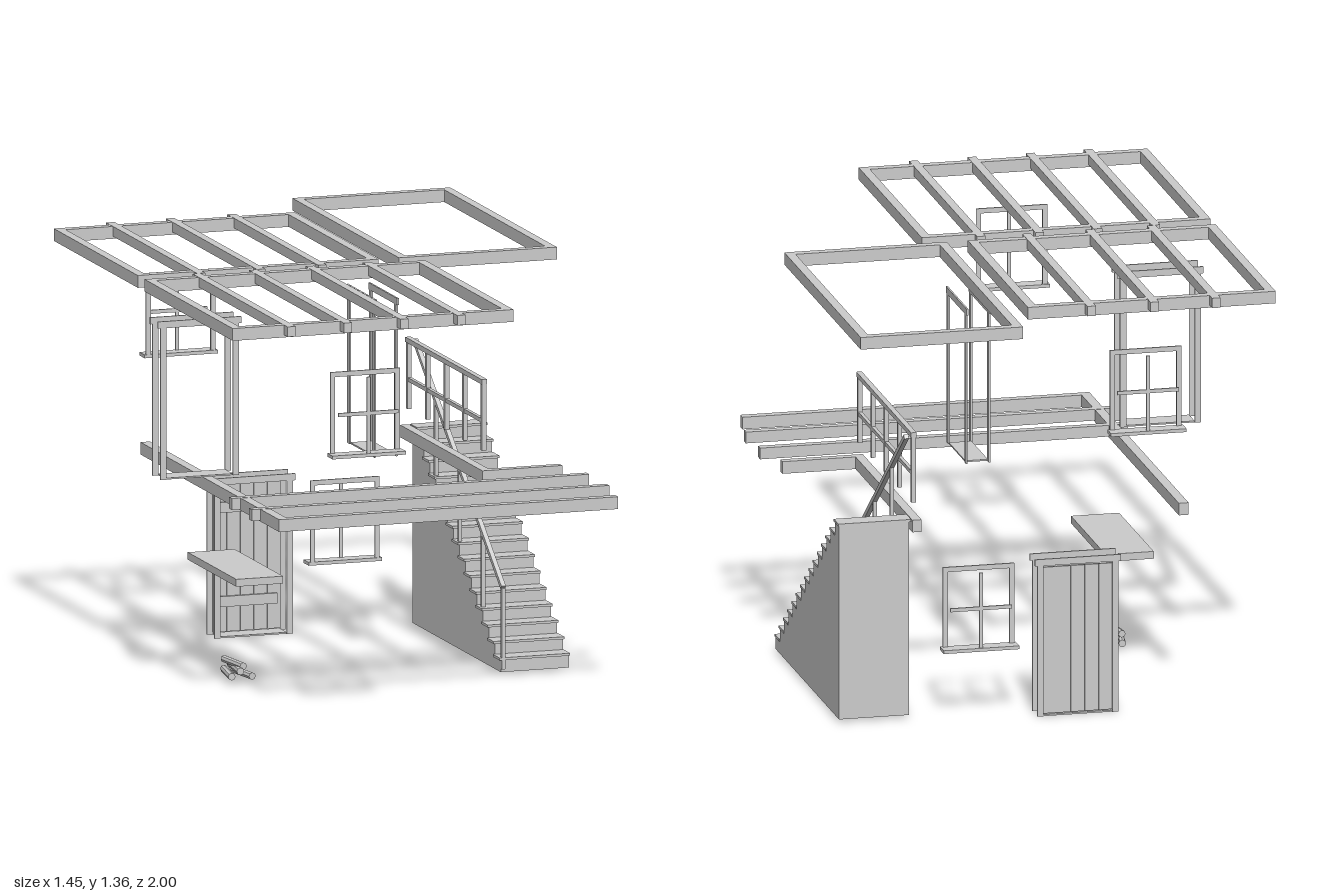
import * as THREE from 'three';

const mat = new THREE.MeshStandardMaterial({ color: 0xcccccc, flatShading: true });

// Box given by its minimum and maximum on each axis
function box(parent, name, x0, x1, y0, y1, z0, z1) {
  const m = new THREE.Mesh(new THREE.BoxGeometry(x1 - x0, y1 - y0, z1 - z0), mat);
  m.position.set((x0 + x1) / 2, (y0 + y1) / 2, (z0 + z1) / 2);
  m.name = name;
  parent.add(m);
  return m;
}

function group(parent, name) {
  const g = new THREE.Group();
  g.name = name;
  parent.add(g);
  return g;
}

// Rectangular ceiling frame with joists that run past it along z
function ceilingFrame(root, name, x0, x1, z0, z1, joists = [], j0 = 0, j1 = 0) {
  const g = group(root, name), w = 0.03, y0 = 1.315, y1 = 1.355;
  box(g, 'backBeam', x0, x1, y0, y1, z0, z0 + w);
  box(g, 'frontBeam', x0, x1, y0, y1, z1 - w, z1);
  box(g, 'rightBeam', x0, x0 + w, y0, y1, z0 + w, z1 - w);
  box(g, 'leftBeam', x1 - w, x1, y0, y1, z0 + w, z1 - w);
  for (const x of joists) box(g, 'joist', x - 0.014, x + 0.014, 1.323, 1.3555, j0, j1);
}

// Door casing on both faces of a wall, centred on its own origin, facing z
function doorCasing(root, name, width, height, depth) {
  const g = group(root, name), h = width / 2;
  for (const s of [-1, 1]) {
    const z = s * depth / 2, a = z - 0.003, b = z + 0.003;
    box(g, 'header', -h - 0.008, h + 0.008, height - 0.022, height, a, b);
    box(g, 'jamb', -h, -h + 0.02, 0, height - 0.022, a, b);
    box(g, 'jamb', h - 0.02, h, 0, height - 0.022, a, b);
  }
  box(g, 'threshold', -h + 0.02, h - 0.02, 0, 0.005, -depth / 2, depth / 2);
  return g;
}

// Window: inner casing, outer glazing cross and sill; outward is +z
function windowFrame(root, name) {
  const g = group(root, name), h = 0.117, t = 0.016, top = 0.275;
  box(g, 'casing', -h, h, top - t, top, -0.003, 0.003);
  box(g, 'casing', -h, -h + t, 0.01, top - t, -0.003, 0.003);
  box(g, 'casing', h - t, h, 0.01, top - t, -0.003, 0.003);
  box(g, 'verticalBar', -0.006, 0.006, 0.01, top - t, 0.032, 0.038);
  box(g, 'horizontalBar', -h + t, h - t, 0.135, 0.147, 0.031, 0.037);
  box(g, 'sill', -h - 0.007, h + 0.007, 0, 0.011, -0.007, 0.043);
  return g;
}

// Square bar between two points in a plane of constant x
function slopedBar(parent, name, x, y0, z0, y1, z1, w) {
  const len = Math.hypot(y1 - y0, z1 - z0);
  const m = new THREE.Mesh(new THREE.BoxGeometry(w, w, len), mat);
  m.position.set(x, (y0 + y1) / 2, (z0 + z1) / 2);
  m.rotation.x = -Math.atan2(y1 - y0, z1 - z0);
  m.name = name;
  parent.add(m);
}

export function createModel() {
  const root = new THREE.Group();

  // Ceiling frames
  ceilingFrame(root, 'backCeiling', -0.725, 0.088, -0.78, 0.035, [-0.522, -0.32, -0.113], -0.815, 0.068);
  ceilingFrame(root, 'frontCeiling', -0.725, 0.223, 0.1, 0.955, [-0.538, -0.348, -0.157, 0.035], 0.07, 0.99);
  ceilingFrame(root, 'stairCeiling', 0.157, 0.69, -1, 0.035);

  // Floor beams between the storeys
  const floor = group(root, 'floorBeams');
  const b0 = 0.615, b1 = 0.655;
  box(floor, 'longBeam', -0.455, -0.423, b0, b1, -0.715, 0.6);
  box(floor, 'frontBeam', -0.455, 0.69, b0, b1, 0.6, 0.63);
  for (const z of [0.243, 0.437]) box(floor, 'crossBeam', -0.485, 0.722, b0 + 0.004, b1 + 0.001, z - 0.014, z + 0.014);
  box(floor, 'stairwellBeam', 0.42, 0.45, b0, b1, -0.71, 0.06);
  box(floor, 'stairwellEnd', 0.42, 0.69, b0, b1, 0.06, 0.088);

  // Solid staircase with thin overhanging treads
  const stairs = group(root, 'staircase');
  const n = 15, rise = 0.0428, run = 0.0572, zF = 0.152;
  const s = new THREE.Shape();
  s.moveTo(-zF, 0.01);
  for (let i = 0; i < n; i++) {
    s.lineTo(-zF + i * run, 0.01 + (i + 1) * rise);
    s.lineTo(-zF + (i + 1) * run, 0.01 + (i + 1) * rise);
  }
  s.lineTo(-zF + n * run, 0.01);
  const body = new THREE.Mesh(new THREE.ExtrudeGeometry(s, { depth: 0.23, bevelEnabled: false }), mat);
  body.rotation.y = Math.PI / 2;
  body.position.x = 0.46;
  body.name = 'stairBody';
  stairs.add(body);
  for (let i = 0; i < n; i++) {
    const y = 0.01 + (i + 1) * rise, z = zF - i * run;
    box(stairs, 'tread', 0.453, 0.692, y - 0.003, y + 0.005, z - run, z + 0.007);
  }

  // Sloping stair rail
  const rail = group(root, 'stairRail');
  slopedBar(rail, 'handrail', 0.467, 0.285, 0.155, 0.93, -0.697, 0.015);
  for (const [z, y0, y1] of [[0.153, 0.02, 0.283], [-0.042, 0.17, 0.43], [-0.267, 0.34, 0.6], [-0.497, 0.51, 0.775]])
    box(rail, 'post', 0.461, 0.473, y0, y1, z - 0.006, z + 0.006);

  // Level landing rail
  const landing = group(root, 'landingRail');
  box(landing, 'topRail', 0.434, 0.452, 0.926, 0.942, -0.7, 0.042);
  box(landing, 'midRail', 0.437, 0.449, 0.8, 0.813, -0.69, 0.03);
  for (const z of [0.033, -0.147, -0.326, -0.506, -0.69])
    box(landing, 'post', 0.436, 0.45, 0.71, 0.927, z - 0.007, z + 0.007);

  // Door casings
  const upper = doorCasing(root, 'upperDoorway', 0.265, 0.515, 0.076);
  upper.position.set(-0.545, 0.702, 0.077);
  const side = doorCasing(root, 'sideDoorway', 0.262, 0.515, 0.074);
  side.position.set(0.127, 0.702, -0.135);
  side.rotation.y = Math.PI / 2;
  const entry = doorCasing(root, 'entryDoorway', 0.265, 0.52, 0.072);
  entry.position.set(-0.074, 0, -0.75);

  // Planked entry door with two battens
  const door = group(root, 'entryDoor');
  for (let i = 0; i < 5; i++) {
    const x = -0.188 + i * 0.0456;
    box(door, 'plank', x, x + 0.0445, 0.008, 0.492, -0.784, -0.774);
  }
  for (const y of [0.09, 0.396]) box(door, 'batten', -0.175, 0.025, y, y + 0.034, -0.775, -0.766);

  // Windows
  windowFrame(root, 'frontWindow').position.set(-0.28, 0.917, 0.958);
  for (const [name, x, y, z] of [['upperBackWindow', -0.301, 0.917, -0.768], ['lowerBackWindow', 0.234, 0.218, -0.712]]) {
    const w = windowFrame(root, name);
    w.position.set(x, y, z);
    w.rotation.y = Math.PI;
  }

  // Mantel shelf and the logs beneath it
  box(root, 'mantelShelf', -0.445, -0.287, 0.353, 0.377, -0.285, 0.185);
  const logs = group(root, 'logs');
  for (const [x, y, z, yaw] of [[-0.395, 0.028, -0.04, 0.15], [-0.35, 0.028, -0.03, -0.15], [-0.373, 0.046, -0.03, 0.1], [-0.375, 0.06, -0.04, -0.12]]) {
    const log = new THREE.Mesh(new THREE.CylinderGeometry(0.012, 0.012, 0.14, 8), mat);
    log.rotation.set(Math.PI / 2, 0, yaw);
    log.position.set(x, y, z);
    log.name = 'log';
    logs.add(log);
  }
  return root;
}
